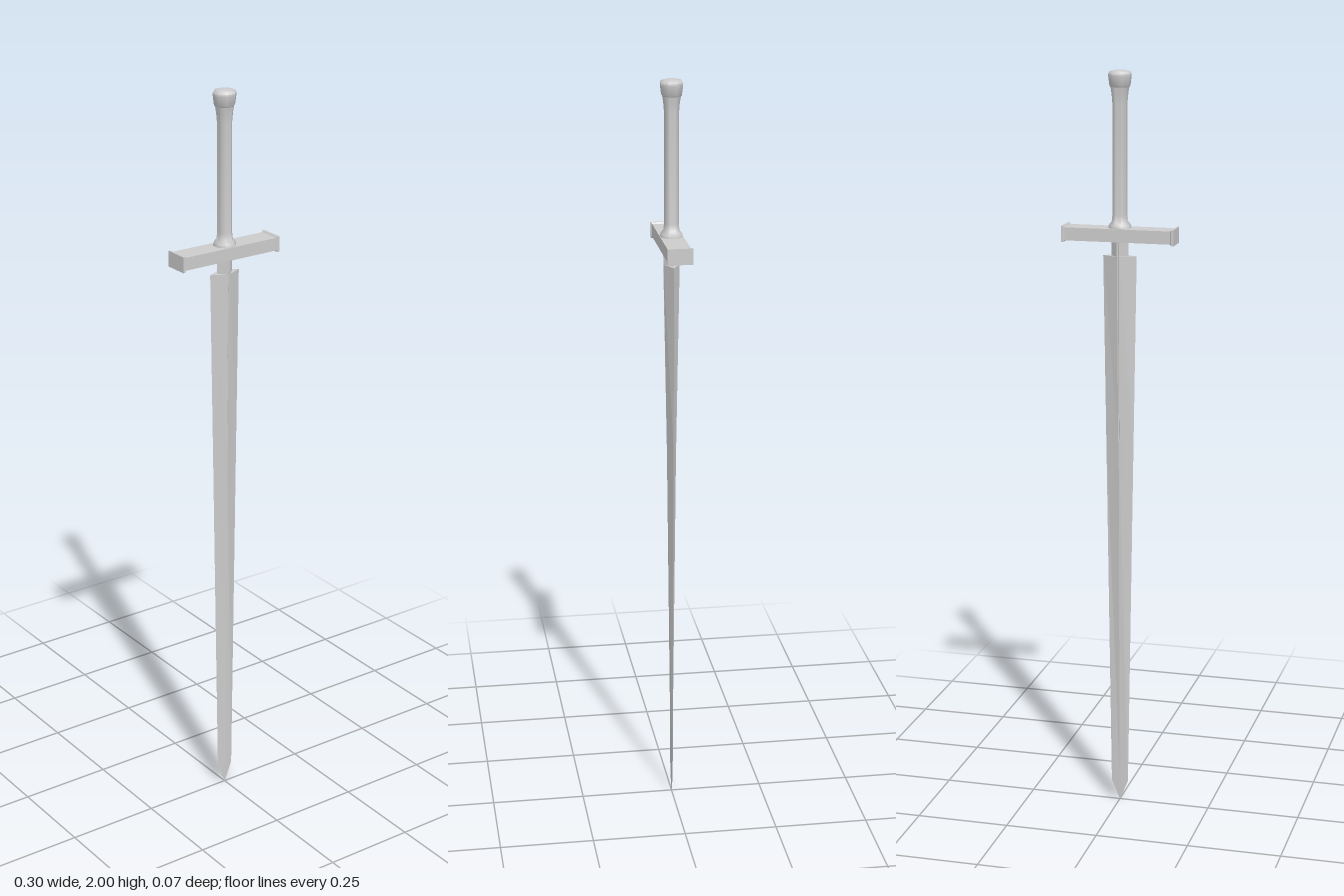
import * as THREE from 'three';
import { toCreasedNormals } from 'three/addons/utils/BufferGeometryUtils.js';

const mat = new THREE.MeshStandardMaterial({ color: 0xcccccc });

function add(group, name, geometry, crease) {
  const mesh = new THREE.Mesh(toCreasedNormals(geometry, crease), mat);
  mesh.name = name;
  group.add(mesh);
}

// Skins a stack of equal-length point loops and caps both ends.
function loft(loops) {
  const n = loops[0].length;
  const index = [];
  for (let s = 0; s < loops.length - 1; s++) {
    for (let i = 0; i < n; i++) {
      const a = s * n + i, b = s * n + (i + 1) % n;
      index.push(a, b, a + n, b, b + n, a + n);
    }
  }
  const last = (loops.length - 1) * n;
  for (let i = 1; i < n - 1; i++) {
    index.push(0, i + 1, i, last, last + i, last + i + 1);
  }
  const g = new THREE.BufferGeometry();
  g.setAttribute('position', new THREE.Float32BufferAttribute(loops.flat(2), 3));
  g.setIndex(index);
  return g;
}

// Eight-sided turned part with flats facing the axes; points are [apothem, y].
function turned(points) {
  const k = 1 / Math.cos(Math.PI / 8);
  return new THREE.LatheGeometry(
    points.map(([r, y]) => new THREE.Vector2(r * k, y)), 8, Math.PI / 8);
}

// Diamond section, with a narrow groove of half width g and depth d on each face.
function bladeSection([y, w, t, g, d]) {
  return [[w, y, 0], [g, y, t], [0, y, t - d], [-g, y, t],
    [-w, y, 0], [-g, y, -t], [0, y, d - t], [g, y, -t]];
}

// Rectangular section across the guard.
function guardSection([x, h, d]) {
  const y = 1.578;
  return [[x, y - h, -d], [x, y - h, d], [x, y + h, d], [x, y + h, -d]];
}

export function createModel() {
  const sword = new THREE.Group();
  sword.name = 'sword';

  // Blade: height, half width, half thickness, groove half width, groove depth
  add(sword, 'blade', loft([
    [1.522, 0.045, 0.021, 0.003, 0.004],
    [1.03, 0.0375, 0.0125, 0.0015, 0.001],
    [1.025, 0.0374, 0.0124, 0.0002, 0],
    [0.055, 0.023, 0.0022, 0.0002, 0],
    [0, 0.0004, 0.0004, 0.0002, 0],
  ].map(bladeSection)), 0.1);

  // Narrow neck between blade and guard
  add(sword, 'bladeNeck', loft([
    [1.575, 0.023, 0.021, 0.003, 0.004],
    [1.515, 0.023, 0.021, 0.003, 0.004],
  ].map(bladeSection)), 0.1);

  // Crossguard with slightly flared ends: x, half height, half depth
  const arm = [[0.15, 0.021, 0.033], [0.144, 0.021, 0.033], [0.141, 0.017, 0.03]];
  const otherArm = arm.map(([x, h, d]) => [-x, h, d]).reverse();
  add(sword, 'crossguard', loft([...arm, ...otherArm].map(guardSection)), 0.2);

  // Grip, swelling into a collar at the guard and again below the pommel
  add(sword, 'grip', turned([
    [0, 1.58], [0.028, 1.594], [0.027, 1.603], [0.02, 1.612],
    [0.018, 1.63], [0.018, 1.915], [0.02, 1.94], [0.023, 1.96], [0, 1.965],
  ]), 0.9);

  // Pommel cap with a shallow dome
  add(sword, 'pommel', turned([
    [0, 1.957], [0.023, 1.957], [0.025, 1.96], [0.028, 1.985],
    [0.028, 1.991], [0.025, 1.996], [0.015, 1.999], [0, 2],
  ]), 0.9);

  return sword;
}
